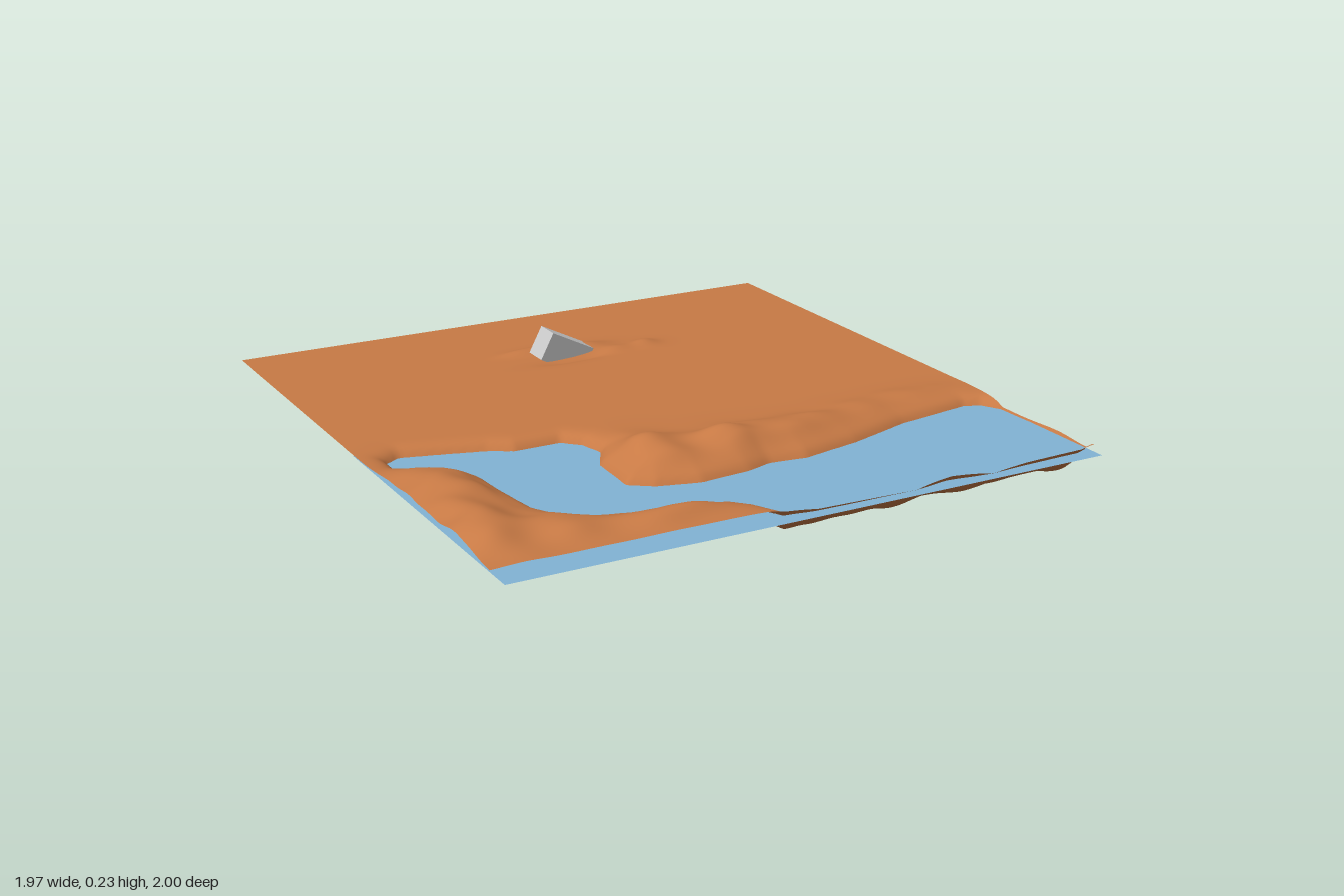
import * as THREE from 'three';

const GROUND = 0.13, WATER = 0.1;

// River outline on the ground, as [x, z]
const SHORE = [
  [-0.9, 0.14], [-0.9, 0.06], [-0.85, 0.03], [-0.74, 0.06], [-0.6, 0.1], [-0.53, 0.14],
  [-0.38, 0.14], [-0.33, 0.19], [-0.31, 0.27], [-0.36, 0.36], [-0.37, 0.54], [-0.3, 0.59],
  [-0.17, 0.625], [0, 0.61], [0.08, 0.585], [0.2, 0.6], [0.4, 0.56], [0.62, 0.49],
  [0.88, 0.45], [0.93, 0.47], [0.965, 0.53], [0.968, 0.93], [0.92, 0.95], [0.72, 0.955],
  [0.6, 0.965], [0.45, 0.945], [0.33, 0.965], [0, 0.96], [-0.1, 0.945], [-0.14, 0.87], [-0.2, 0.81],
  [-0.35, 0.79], [-0.5, 0.74], [-0.62, 0.71], [-0.68, 0.6], [-0.7, 0.45], [-0.71, 0.32],
  [-0.76, 0.23], [-0.85, 0.18],
];

// Soft hills and hollows: x, z, radius x, radius z, height
const HILLS = [
  [-0.87, 0.42, 0.12, 0.2, 0.05], [-0.9, 0.75, 0.1, 0.14, 0.05], [-0.7, 0.8, 0.1, 0.1, 0.04],
  [-0.4, 0.87, 0.2, 0.06, 0.035], [-0.22, 0.42, 0.1, 0.13, 0.055], [0.03, 0.46, 0.14, 0.11, 0.055],
  [0.27, 0.45, 0.14, 0.09, 0.035], [0.5, 0.4, 0.14, 0.08, 0.018], [0.73, 0.34, 0.14, 0.06, 0.014],
];
const RUBBLE = [
  [-0.08, -0.62, 0.1, 0.03, 0.025], [0.08, -0.57, 0.08, 0.04, 0.022], [0.27, -0.52, 0.05, 0.035, 0.016],
  [-0.02, -0.49, 0.1, 0.025, -0.014], [0.16, -0.51, 0.07, 0.03, 0.012],
];

const bumps = (list, x, z) => list.reduce((sum, [cx, cz, rx, rz, h]) =>
  sum + h * Math.exp(-(((x - cx) / rx) ** 2) - ((z - cz) / rz) ** 2), 0);

const ripple = (x, z) =>
  0.5 * Math.sin(17 * x + 5 * Math.sin(6 * z)) * Math.cos(15 * z + 3 * x) +
  0.3 * Math.sin(31 * x - 23 * z) + 0.2 * Math.cos(43 * z + 19 * x);

// Distance to the shore, positive on land and negative in the river
function shoreDistance(x, z) {
  let best = Infinity, inside = false;
  for (let i = 0, j = SHORE.length - 1; i < SHORE.length; j = i++) {
    const [ax, az] = SHORE[i], [bx, bz] = SHORE[j];
    const dx = bx - ax, dz = bz - az;
    const t = THREE.MathUtils.clamp(((x - ax) * dx + (z - az) * dz) / (dx * dx + dz * dz), 0, 1);
    best = Math.min(best, Math.hypot(x - ax - t * dx, z - az - t * dz));
    if ((az > z) !== (bz > z) && x < ax + ((z - az) / dz) * dx) inside = !inside;
  }
  return inside ? -best : best;
}

function groundHeight(x, z) {
  const d = shoreDistance(x, z), n = ripple(x, z);
  if (d < 0) {
    // Bed sinks quickly from the bank and is uneven at the bottom
    const sink = 1 - Math.exp(d / 0.05);
    return WATER - sink * (0.078 + 0.016 * n);
  }
  const rise = THREE.MathUtils.smoothstep(d, 0, 0.1);
  const hill = bumps(HILLS, x, z);
  const land = WATER + (GROUND - WATER) * (1 - Math.exp(-d / 0.02));
  return land + rise * hill * (1 + 0.25 * n) + bumps(RUBBLE, x, z) * (1 + 0.4 * n);
}

function makeMesh(name, geometry, color, side = THREE.FrontSide) {
  const mesh = new THREE.Mesh(geometry, new THREE.MeshStandardMaterial({ color, side }));
  mesh.name = name;
  return mesh;
}

// Flat sheet between two corners, facing up
function sheet(x0, x1, z0, z1, segments) {
  return new THREE.PlaneGeometry(x1 - x0, z1 - z0, segments, segments)
    .rotateX(-Math.PI / 2)
    .translate((x0 + x1) / 2, 0, (z0 + z1) / 2);
}

export function createModel() {
  const model = new THREE.Group();
  model.name = 'riverLandscape';

  // Terrain with carved river bed and raised banks
  const land = sheet(-0.985, 0.97, -1, 0.965, 150);
  const p = land.attributes.position;
  let lowest = Infinity;
  for (let i = 0; i < p.count; i++) {
    const x = p.getX(i), z = p.getZ(i);
    const y = groundHeight(x, z);
    lowest = Math.min(lowest, y);
    // The river mouth bulges slightly past the right-hand edge
    const bulge = 0.015 * Math.exp(-(((z - 0.78) / 0.1) ** 2)) * THREE.MathUtils.smoothstep(x, 0.9, 0.97);
    p.setXYZ(i, x + bulge, y, z);
  }
  // Stretch the bed so that its deepest point rests at zero
  for (let i = 0; i < p.count; i++) {
    const y = p.getY(i);
    if (y < WATER) p.setY(i, WATER * (y - lowest) / (WATER - lowest));
  }
  land.computeVertexNormals();
  model.add(makeMesh('terrain', land, 0xc87a45, THREE.DoubleSide));

  // Water sheet under the front half
  const water = makeMesh('water', sheet(-0.96, 0.97, -0.05, 1, 1), 0x82b4d6, THREE.DoubleSide);
  water.position.y = WATER;
  model.add(water);

  // Tilted block half sunk in the ground
  const block = makeMesh('sunkenBlock', new THREE.BoxGeometry(0.175, 0.097, 0.08), 0xcccccc);
  block.position.set(-0.028, 0.143, -0.553);
  block.rotation.set(0.06, 0.06, -0.47, 'YXZ');
  model.add(block);

  return model;
}
